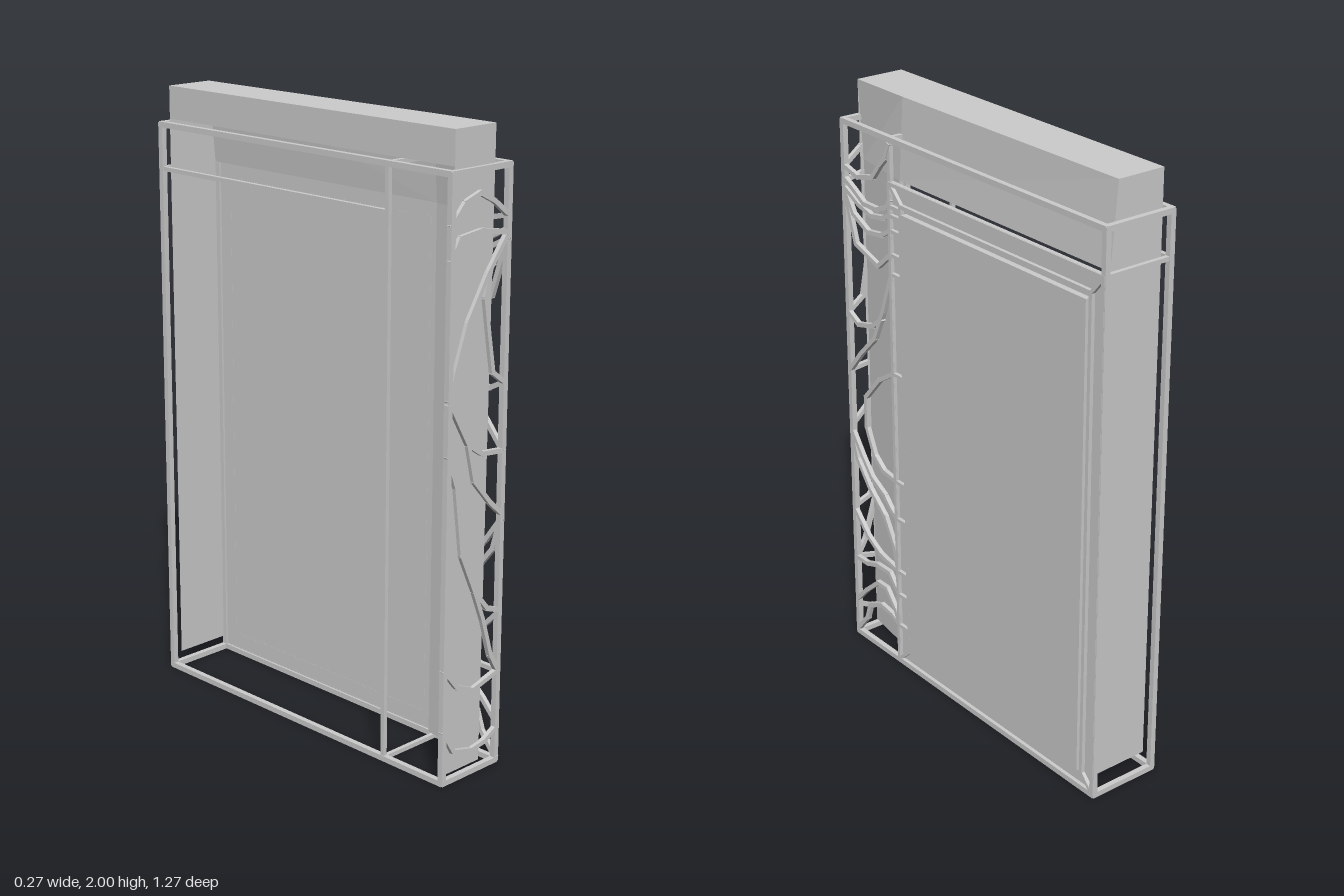
import * as THREE from 'three';

const grey = new THREE.MeshStandardMaterial({ color: 0xcccccc, flatShading: true, side: THREE.DoubleSide });

function add(parent, name, geometry) {
  const mesh = new THREE.Mesh(geometry, grey);
  mesh.name = name;
  parent.add(mesh);
  return mesh;
}

// square bar running from point a to point b
function bar(parent, name, a, b, t) {
  const from = new THREE.Vector3(...a), to = new THREE.Vector3(...b);
  const mesh = add(parent, name, new THREE.BoxGeometry(t, t, from.distanceTo(to) + t * 0.6));
  mesh.position.copy(from).add(to).multiplyScalar(0.5);
  mesh.lookAt(to);
}

function polyline(parent, name, points, t) {
  for (let i = 1; i < points.length; i++) bar(parent, name, points[i - 1], points[i], t);
}

// flat four-cornered sheet
function sheet(parent, name, a, b, c, d) {
  const geometry = new THREE.BufferGeometry();
  geometry.setAttribute('position', new THREE.Float32BufferAttribute([a, b, c, a, c, d].flat(), 3));
  geometry.computeVertexNormals();
  add(parent, name, geometry);
}

function group(parent, name) {
  const g = new THREE.Group();
  g.name = name;
  parent.add(g);
  return g;
}

const L = -0.125, R = 0.115, F = 0.626, B = -0.626, M = 0.38;
const TOP = 1.877, LOW = 0.01, RAIL = 1.735;

// vein lines on the +x side, as [z, y]
const sideVeins = [
  [[.63, 1.73], [.55, 1.71], [.47, 1.73], [.43, 1.78], [.4, 1.81], [.38, 1.86]],
  [[.63, 1.69], [.57, 1.66], [.52, 1.63], [.45, 1.63], [.4, 1.65], [.38, 1.68]],
  [[.63, 1.66], [.55, 1.62], [.48, 1.6], [.42, 1.61], [.38, 1.63]],
  [[.63, 1.66], [.58, 1.58], [.5, 1.54], [.43, 1.55], [.38, 1.58]],
  [[.63, 1.66], [.57, 1.48], [.45, 1.44], [.38, 1.5]],
  [[.63, 1.23], [.57, 1.2], [.49, 1.22], [.44, 1.26]],
  [[.63, 1.02], [.56, 1.1], [.48, 1.18], [.43, 1.29], [.38, 1.43]],
  [[.38, 1.09], [.46, 1.04], [.54, .95], [.54, .84], [.5, .75], [.45, .71], [.38, .7]],
  [[.63, .8], [.57, .72], [.52, .66], [.45, .62], [.41, .58], [.38, .56]],
  [[.63, .8], [.6, .7], [.53, .61], [.45, .54], [.4, .45], [.38, .36]],
  [[.63, .5], [.55, .42], [.48, .38], [.38, .36]],
  [[.63, .31], [.56, .31], [.5, .33], [.43, .33], [.38, .27]],
  [[.63, .14], [.57, .2], [.5, .26], [.45, .26], [.4, .2], [.38, .15]],
  [[.63, .02], [.57, .09], [.55, .15], [.48, .18], [.42, .17], [.38, .15]],
];

// vein lines on the front, as [x, y]
const frontVeins = [
  [[-.13, 1.73], [-.07, 1.79], [-.01, 1.81], [.05, 1.78], [.115, 1.73]],
  [[-.13, 1.63], [-.09, 1.69], [0, 1.7], [.115, 1.68]],
  [[.115, 1.68], [.03, 1.57], [-.05, 1.44], [-.1, 1.3], [-.13, 1.21]],
  [[.04, 1.58], [.02, 1.5], [.04, 1.38], [.06, 1.27], [.115, 1.23]],
  [[-.13, 1.22], [-.04, 1.07], [.02, 1.03], [.115, 1.02]],
  [[-.04, 1.07], [-.01, .95], [.06, .87], [.115, .82]],
  [[-.13, 1.05], [-.09, .95], [-.06, .73], [0, .6], [.06, .53], [.115, .51]],
  [[0, .6], [.04, .5], [.08, .37], [.115, .31]],
  [[-.13, .38], [-.07, .31], [0, .28], [.115, .31]],
  [[-.13, .18], [-.08, .1], [0, .08], [.06, .09], [.115, .12]],
];

export function createModel() {
  const model = new THREE.Group();
  model.name = 'screenedSlab';

  // thin-walled inner shell, open along -x and at the bottom
  const shell = group(model, 'innerShell');
  const xl = -0.11, zf = 0.622, zb = -0.605, y0 = 0.03;
  const fTop = [.06, 2, zf], fLow = [.045, y0, zf], mTop = [.063, 2, M], mLow = [.08, y0, M];
  const bTop = [.057, 2, zb], mMid = [.08, 1.735, M], bMid = [.08, 1.735, zb];
  sheet(shell, 'roof', [xl, 2, zf], fTop, mTop, [xl, 2, M]);
  sheet(shell, 'roof', [xl, 2, M], mTop, bTop, [xl, 2, zb]);
  sheet(shell, 'frontWall', [xl, y0, zf], fLow, fTop, [xl, 2, zf]);
  sheet(shell, 'slantedWall', fLow, mLow, mMid, [.045, 1.735, zf]);
  sheet(shell, 'slantedWall', [.045, 1.735, zf], mMid, mTop, fTop);
  sheet(shell, 'upperSideWall', mMid, bMid, bTop, mTop);
  sheet(shell, 'backWall', [.083, .06, zb], [xl, .06, zb], [xl, 1.735, zb], bMid);
  sheet(shell, 'backWall', bMid, [xl, 1.735, zb], [xl, 2, zb], bTop);
  sheet(shell, 'parapet', [xl, 1.895, zb], [xl, 1.895, zf], [xl, 2, zf], [xl, 2, zb]);

  // outer cage of bars
  const cage = group(model, 'cage');
  for (const x of [L, R]) {
    for (const z of [F, M, B]) bar(cage, 'post', [x, LOW, z], [x, TOP, z], z === M ? 0.014 : 0.018);
    for (const y of [LOW, TOP]) bar(cage, 'longRail', [x, y, B], [x, y, F], 0.018);
    bar(cage, 'middleRail', [x, RAIL, B], [x, RAIL, M], 0.014);
  }
  for (const y of [LOW, TOP]) {
    for (const z of [F, M, B]) bar(cage, 'crossRail', [L, y, z], [R, y, z], z === M ? 0.014 : 0.018);
  }
  bar(cage, 'crossRail', [L, RAIL, B], [R, RAIL, B], 0.014);

  // large side panel with a mitred border and a raised pane
  const panel = group(model, 'sidePanel');
  const px = 0.113;
  sheet(panel, 'panelBacking', [px, .01, M], [px, .01, B], [px, RAIL, B], [px, RAIL, M]);
  add(panel, 'raisedPane', new THREE.BoxGeometry(0.02, 1.58, 0.87)).position.set(0.123, 0.865, -0.13);
  const ring = (z1, z2, y1, y2) => [[.119, y1, z1], [.119, y1, z2], [.119, y2, z2], [.119, y2, z1]];
  const outer = ring(M, B, .015, RAIL), inner = ring(.322, -.575, .068, 1.675);
  for (let i = 0; i < 4; i++) {
    const j = (i + 1) % 4;
    bar(panel, 'outerBorder', outer[i], outer[j], 0.013);
    bar(panel, 'innerBorder', inner[i], inner[j], 0.013);
    bar(panel, 'mitre', outer[i], inner[i], 0.012);
  }
  for (const y of [1.66, 1.63, 1.58, 1.5, 1.435, 1.09, .7, .56, .36, .27, .15]) {
    bar(panel, 'rung', [.119, y, M], [.119, y, .322], 0.012);
  }

  // branching veins across the front and the leading side
  const veins = group(model, 'veins');
  for (const line of sideVeins) polyline(veins, 'sideVein', line.map(([z, y]) => [.117, y, Math.min(z, .627)]), 0.015);
  for (const line of frontVeins) polyline(veins, 'frontVein', line.map(([x, y]) => [Math.max(x, -.127), y, .627]), 0.015);

  return model;
}
